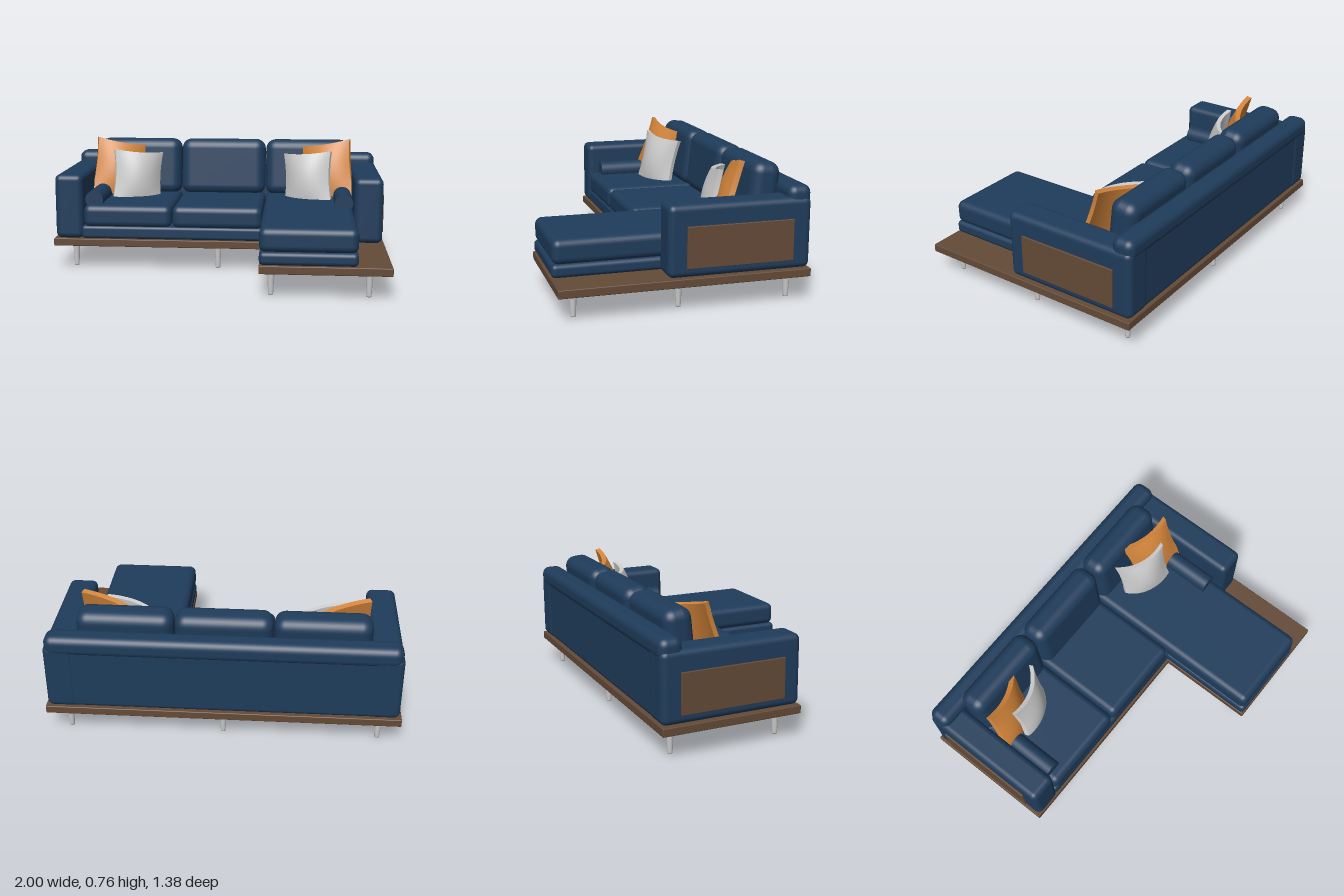
import * as THREE from 'three';
import { RoundedBoxGeometry } from 'three/addons/geometries/RoundedBoxGeometry.js';

const mat = (color) => new THREE.MeshStandardMaterial({ color });

// Square cushion: a slab that bows forward, with pinched sides and pointed corners
function pillowGeometry(w, h, thick, bow) {
  const g = new THREE.BoxGeometry(w, h, thick, 12, 12, 1);
  const p = g.attributes.position;
  for (let i = 0; i < p.count; i++) {
    const u = p.getX(i) / (w / 2), v = p.getY(i) / (h / 2);
    const front = p.getZ(i) > 0;
    const belly = (1 - u * u) * (1 - v * v);
    p.setXYZ(i,
      p.getX(i) * (1 - 0.09 * (1 - v * v)),
      p.getY(i) * (1 - 0.09 * (1 - u * u)),
      p.getZ(i) + bow * (1 - u * u) + (front ? 0.025 : -0.005) * belly);
  }
  g.computeVertexNormals();
  return g;
}

export function createModel() {
  const model = new THREE.Group();
  model.name = 'sectionalSofa';
  const fabric = mat(0x1f3c5b), wood = mat(0x644a37), orange = mat(0xd2843a), grey = mat(0xcccccc);

  const add = (name, geometry, material, x, y, z) => {
    const mesh = new THREE.Mesh(geometry, material);
    mesh.name = name;
    mesh.position.set(x, y, z);
    model.add(mesh);
    return mesh;
  };
  // Rounded block given by its limits on each axis
  const block = (name, material, [x0, x1], [y0, y1], [z0, z1], r) =>
    add(name, new RoundedBoxGeometry(x1 - x0, y1 - y0, z1 - z0, 4, r), material,
      (x0 + x1) / 2, (y0 + y1) / 2, (z0 + z1) / 2);

  // L-shaped wooden platform
  block('mainPlatform', wood, [-1, 1], [0.14, 0.186], [-0.69, 0.11], 0.005);
  block('chaisePlatform', wood, [0.275, 1], [0.14, 0.186], [0.1, 0.69], 0.005);

  // Turned, tapered legs
  const legGeometry = new THREE.LatheGeometry([
    [0, 0], [0.013, 0], [0.014, 0.006], [0.02, 0.122], [0.026, 0.126], [0.026, 0.142], [0, 0.142],
  ].map(([x, y]) => new THREE.Vector2(x, y)), 20);
  const legSpots = [[-0.88, -0.6], [0, -0.6], [0.88, -0.6], [-0.88, 0.02], [0, 0.02],
    [0.88, 0.02], [0.34, 0.59], [0.88, 0.59]];
  for (const [x, z] of legSpots) add('leg', legGeometry, grey, x, 0, z);

  // Upholstered base under the seats
  block('seatBase', fabric, [-0.83, 0.83], [0.186, 0.265], [-0.6, 0.1], 0.02);
  block('chaiseBase', fabric, [0.275, 0.815], [0.186, 0.26], [-0.5, 0.685], 0.025);

  // Seat and back cushions, the seat of the last column forming the chaise
  for (const [x0, x1, front] of [[-0.817, -0.279, 0.105], [-0.274, 0.27, 0.105], [0.275, 0.815, 0.68]]) {
    block('seatCushion', fabric, [x0, x1], [0.255, 0.392], [-0.55, front], 0.04);
    const back = block('backCushion', fabric, [x0, x1], [0.375, 0.735], [-0.578, -0.413], 0.062);
    back.rotation.x = -0.1;
  }

  // Back panel between the arms with a full-width roll on top
  block('backPanel', fabric, [-0.93, 0.93], [0.186, 0.62], [-0.682, -0.565], 0.03);
  block('backRoll', fabric, [-0.98, 0.98], [0.52, 0.638], [-0.692, -0.56], 0.045);

  const pillow = pillowGeometry(0.32, 0.33, 0.025, 0.045);
  const bigPillow = pillowGeometry(0.32, 0.37, 0.03, 0.03);
  for (const s of [-1, 1]) {
    // Arm with an inlaid wooden side panel
    const limits = (a, b) => (s > 0 ? [a, b] : [-b, -a]);
    block('arm', fabric, limits(0.818, 0.988), [0.186, 0.577], [-0.688, 0.108], 0.035);
    block('armSidePanel', wood, limits(0.96, 0.998), [0.238, 0.464], [-0.585, 0.01], 0.003);

    // Bolster lying along the arm
    const bolster = add('bolster', new THREE.CylinderGeometry(0.055, 0.055, 0.44, 28), fabric,
      s * 0.76, 0.415, -0.18);
    bolster.rotation.x = Math.PI / 2;

    // Pair of scatter cushions leaning back into the corner
    const lean = (name, geo, material, x, y, z, pitch, yaw, roll) => {
      const m = add(name, geo, material, s * x, y, z);
      m.rotation.set(pitch, -s * yaw, s * roll, 'YXZ');
    };
    lean('orangePillow', bigPillow, orange, 0.675, 0.55, -0.345, -0.27, 0.36, 0.2);
    lean('greyPillow', pillow, grey, 0.545, 0.51, -0.31, -0.18, 0.42, 0.1);
  }
  return model;
}
